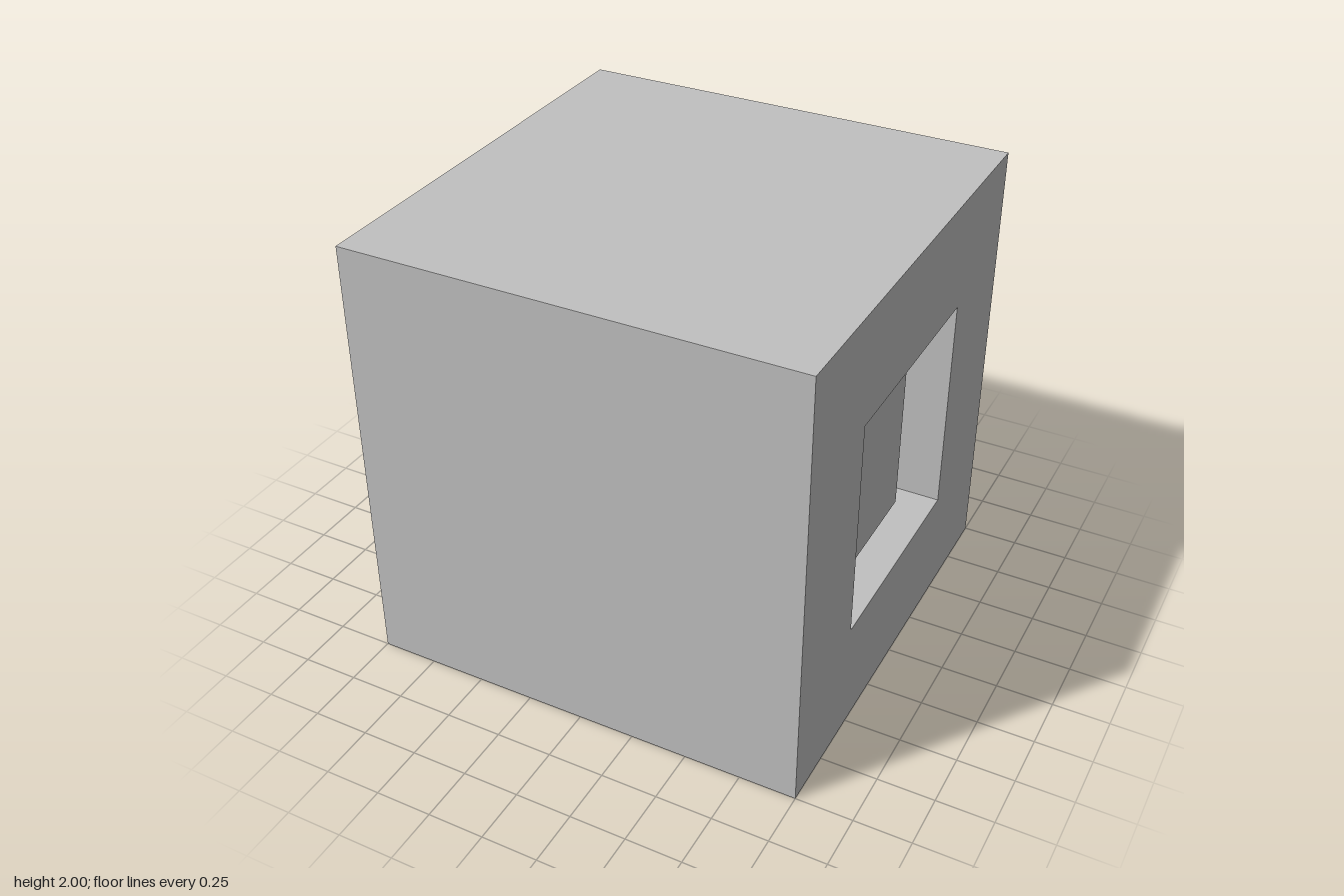
import * as THREE from 'three';
import { mergeGeometries } from 'three/addons/utils/BufferGeometryUtils.js';

const grey = new THREE.MeshStandardMaterial({ color: 0xc0c0c0 });
grey.name = 'grey';

const square = (Type, size) => {
  const h = size / 2;
  return new Type([[-h, -h], [h, -h], [h, h], [-h, h]].map(([x, y]) => new THREE.Vector2(x, y)));
};

// One 2 x 2 cube face at local z = 1, with an optional square recess sunk into it
function faceGeometry(hole, depth) {
  const outline = square(THREE.Shape, 2);
  if (!hole) return new THREE.ShapeGeometry(outline).translate(0, 0, 1);
  outline.holes.push(square(THREE.Path, hole));
  const face = new THREE.ShapeGeometry(outline).translate(0, 0, 1);

  // Mirroring turns the box inside out; leaving off the last side opens its mouth
  const pocket = new THREE.BoxGeometry(hole, hole, depth).scale(1, 1, -1);
  pocket.setIndex(Array.from(pocket.index.array).slice(0, 30));
  pocket.clearGroups();
  pocket.computeVertexNormals();
  pocket.translate(0, 0, 1 - depth / 2);
  return mergeGeometries([face, pocket]);
}

export function createModel() {
  const model = new THREE.Group();
  model.name = 'recessedCube';

  const add = (name, geometry, x = 0, y = 1, z = 0) => {
    const mesh = new THREE.Mesh(geometry, grey);
    mesh.name = name;
    mesh.position.set(x, y, z);
    model.add(mesh);
    return mesh;
  };

  // Six faces: deep recesses on both sides, a shallow one at the back
  const q = Math.PI / 2;
  const sideDepth = 0.5;
  add('frontFace', faceGeometry());
  add('backFace', faceGeometry(0.75, 0.25)).rotation.y = Math.PI;
  add('topFace', faceGeometry()).rotation.x = -q;
  add('bottomFace', faceGeometry()).rotation.x = q;

  for (const [side, s] of [['left', 1], ['right', -1]]) {
    add(side + 'Face', faceGeometry(1, sideDepth)).rotation.y = s * q;
    // Block standing in the recess, with a small tab on its rear edge
    const floor = 1 - sideDepth;
    add(side + 'Block', new THREE.BoxGeometry(0.86 - floor, 0.89, 0.66), s * (0.86 + floor) / 2);
    add(side + 'Tab', new THREE.BoxGeometry(0.2, 0.3, 0.11), s * (floor + 0.1), 1, -0.385);
  }
  return model;
}
